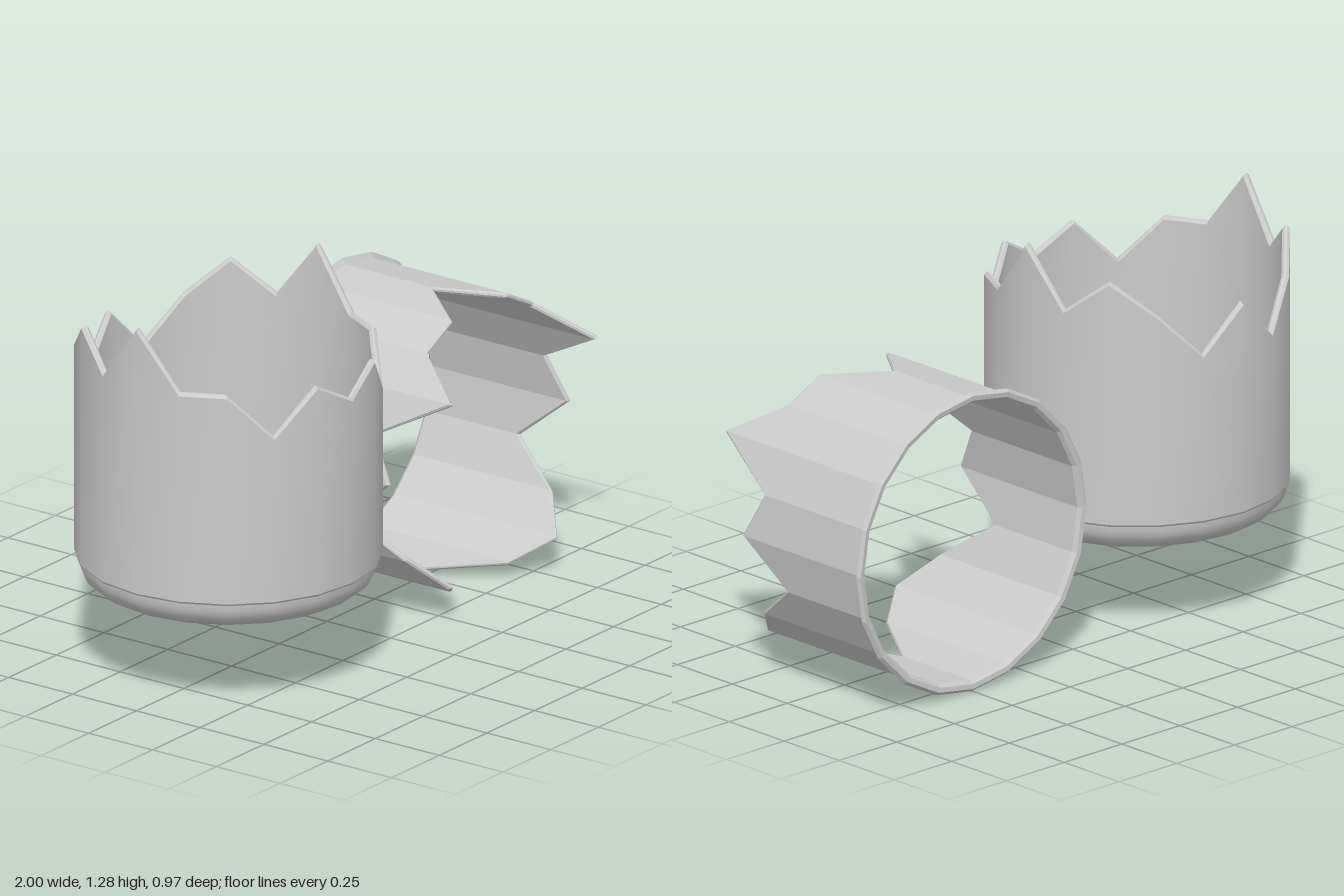
import * as THREE from 'three';
import { toCreasedNormals } from 'three/addons/utils/BufferGeometryUtils.js';

const SIDES = 20;

// Thin-walled ring with a jagged top. Profile points are [radius, height, followsTop];
// tops holds the heights from angle -90 to +90 degrees, mirrored to the other half.
function jaggedShell(profile, tops) {
  const pos = [], index = [], rows = profile.length;
  for (let k = 0; k < SIDES; k++) {
    const a = (k / SIDES) * Math.PI * 2;
    // fold the angle into the -5..5 range of the mirrored half
    const s = k <= 5 ? k : k <= 15 ? 10 - k : k - 20;
    const top = tops[s + 5];
    for (const [r, y, followsTop] of profile) {
      pos.push(r * Math.cos(a), followsTop ? top + y : y, r * Math.sin(a));
    }
  }
  for (let k = 0; k < SIDES; k++) {
    const n = (k + 1) % SIDES;
    for (let j = 0; j < rows; j++) {
      const m = (j + 1) % rows;
      const a = k * rows + j, b = n * rows + j, c = k * rows + m, d = n * rows + m;
      index.push(a, c, b, b, c, d);
    }
  }
  const geo = new THREE.BufferGeometry();
  geo.setAttribute('position', new THREE.Float32BufferAttribute(pos, 3));
  geo.setIndex(index);
  geo.computeVertexNormals();
  return geo;
}

export function createModel() {
  const model = new THREE.Group();
  model.name = 'brokenCup';
  const smooth = new THREE.MeshStandardMaterial({ color: 0xcccccc, side: THREE.DoubleSide });
  const flat = new THREE.MeshStandardMaterial({ color: 0xcccccc, side: THREE.DoubleSide, flatShading: true });
  const add = (parent, name, geo, mat) => {
    const mesh = new THREE.Mesh(geo, mat);
    mesh.name = name;
    parent.add(mesh);
    return mesh;
  };

  // Standing lower half: jagged wall
  const lower = new THREE.Group();
  lower.name = 'lowerHalf';
  lower.position.x = -0.515;
  model.add(lower);
  const wall = jaggedShell(
    [[0.46, 0.385], [0.48, 0.385], [0.485, 0.392], [0.485, -0.01, true], [0.476, 0, true],
      [0.468, 0, true], [0.46, -0.01, true]],
    [1.09, 0.945, 1.09, 1.2, 1.09, 1.28, 1.09, 1.09, 0.945, 1.09, 1.01]);
  add(lower, 'lowerWall', toCreasedNormals(wall, 0.5), smooth);

  // Rounded base with an inner floor
  const base = [new THREE.Vector2(0, 0.29)];
  for (let i = 0; i <= 8; i++) {
    const a = (i / 8) * Math.PI / 2;
    base.push(new THREE.Vector2(0.375 + 0.103 * Math.sin(a), 0.385 - 0.095 * Math.cos(a)));
  }
  for (let i = 8; i >= 0; i--) {
    const a = (i / 8) * Math.PI / 2;
    base.push(new THREE.Vector2(0.37 + 0.09 * Math.sin(a), 0.386 - 0.076 * Math.cos(a)));
  }
  base.push(new THREE.Vector2(0, 0.31));
  add(lower, 'roundedBase', toCreasedNormals(new THREE.LatheGeometry(base, SIDES), 0.6), smooth);

  // Upper half lying on its side, rim to the back and jagged edge to the front
  const upper = jaggedShell(
    [[0.462, -0.312], [0.472, -0.324], [0.488, -0.326], [0.498, -0.316], [0.48, -0.302],
      [0.48, -0.008, true], [0.474, 0, true], [0.468, 0, true], [0.462, -0.008, true]],
    [0.04, 0.225, 0.225, 0.4, 0.15, 0.225, 0.045, 0.225, 0.32, 0.225, 0.0]);
  const ring = add(model, 'upperHalf', upper, flat);
  ring.rotation.x = Math.PI / 2;
  ring.position.set(0.502, 0.498, 0);

  return model;
}
